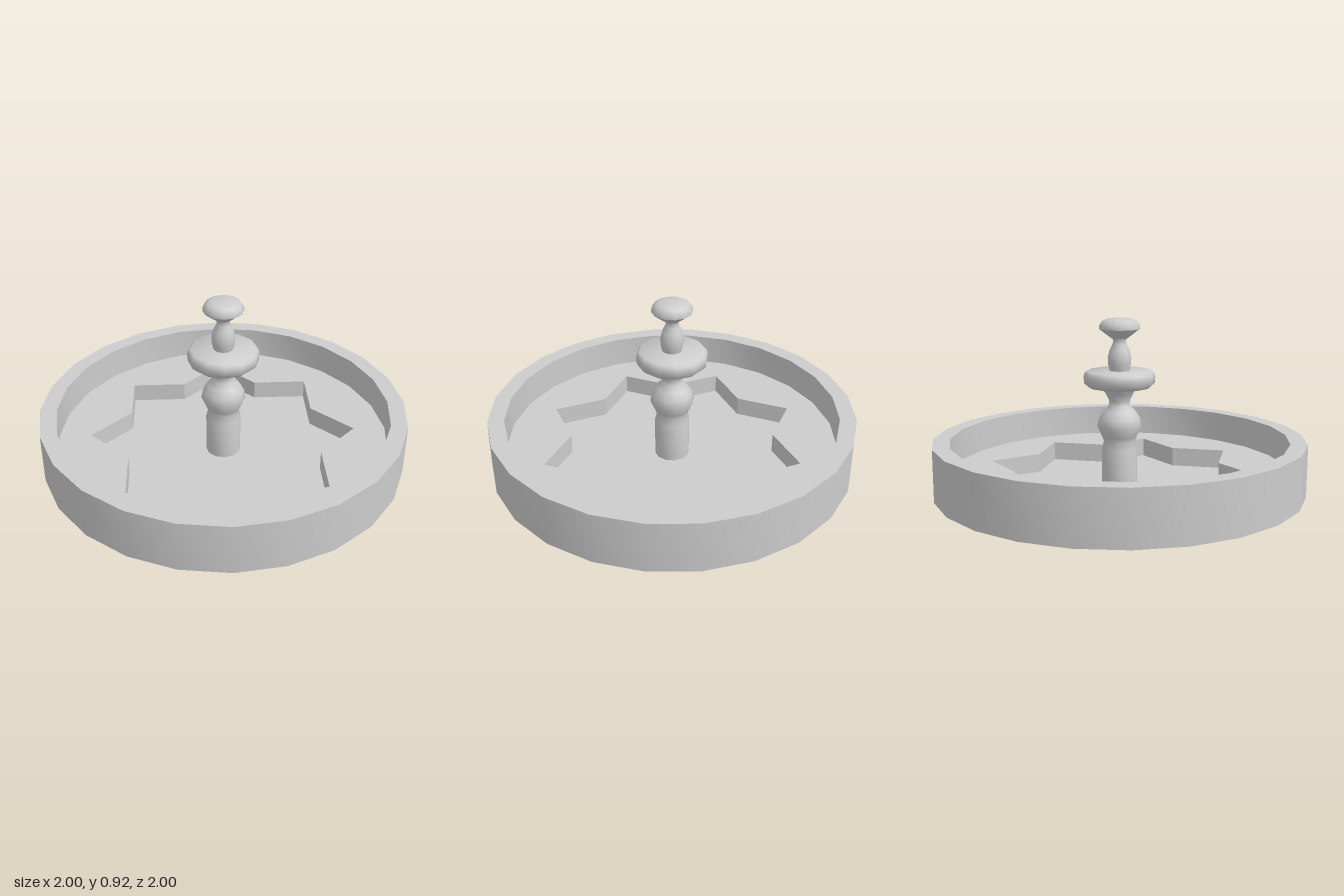
import * as THREE from 'three';
import { toCreasedNormals } from 'three/addons/utils/BufferGeometryUtils.js';

const FLOOR = 0.107, STAR_TIP = 0.735;
const STAR_NOTCH = STAR_TIP * Math.cos(Math.PI / 4) / Math.cos(Math.PI / 8);

// Regular ring of points; radius may vary by index
function ring(count, radiusAt) {
  return Array.from({ length: count }, (_, i) => {
    const a = (i / count) * Math.PI * 2, r = radiusAt(i);
    return new THREE.Vector2(Math.sin(a) * r, Math.cos(a) * r);
  });
}

export function createModel() {
  const group = new THREE.Group();
  const stone = new THREE.MeshStandardMaterial({ color: 0xcccccc, side: THREE.DoubleSide });
  stone.name = 'grey stone';

  const add = (name, geometry, crease = 0.7) => {
    const mesh = new THREE.Mesh(toCreasedNormals(geometry, crease), stone);
    mesh.name = name;
    group.add(mesh);
    return mesh;
  };
  const turned = (name, sides, profile, crease) =>
    add(name, new THREE.LatheGeometry(profile.map(([r, y]) => new THREE.Vector2(r, y)), sides), crease);

  // Basin wall: outer side, rim and inner side, open underneath
  turned('basinWall', 24, [[1, 0], [1, 0.28], [0.91, 0.28], [0.91, FLOOR]]);

  // Raised floor with a star-shaped opening
  const starRadius = (i) => (i % 2 ? STAR_NOTCH : STAR_TIP);
  const floor = new THREE.Shape(ring(24, () => 0.91));
  floor.holes.push(new THREE.Path(ring(16, starRadius)));
  add('basinFloor', new THREE.ShapeGeometry(floor).rotateX(-Math.PI / 2).translate(0, FLOOR, 0));

  // Sunken star: bottom and zigzag walls
  const star = new THREE.Shape(ring(16, starRadius));
  add('starBottom', new THREE.ShapeGeometry(star).rotateX(-Math.PI / 2));
  const wall = new THREE.CylinderGeometry(1, 1, FLOOR, 16, 1, true).translate(0, FLOOR / 2, 0);
  const pos = wall.attributes.position;
  for (let i = 0; i < pos.count; i++) {
    const r = starRadius(i % 17);
    pos.setX(i, pos.getX(i) * r);
    pos.setZ(i, pos.getZ(i) * r);
  }
  add('starWall', wall, 0.3);

  // Turned centre column
  turned('column', 12, [
    [0.095, 0], [0.095, 0.22], [0.085, 0.26], [0.095, 0.285], [0.12, 0.34], [0.112, 0.385],
    [0.085, 0.425], [0.058, 0.455], [0.055, 0.48], [0.075, 0.52], [0.1, 0.556],
  ], 1.0);
  turned('dish', 12, [
    [0, 0.555], [0.168, 0.555], [0.19, 0.575], [0.193, 0.61], [0.188, 0.63], [0.175, 0.643], [0, 0.643],
  ], 0.9);
  turned('upperStem', 12, [
    [0.053, 0.64], [0.062, 0.68], [0.063, 0.715], [0.053, 0.755], [0.037, 0.785], [0.034, 0.805], [0.042, 0.82],
  ], 1.0);
  turned('finial', 12, [
    [0.042, 0.815], [0.108, 0.865], [0.108, 0.885], [0.092, 0.908], [0.068, 0.92], [0, 0.92],
  ], 0.9);

  return group;
}
